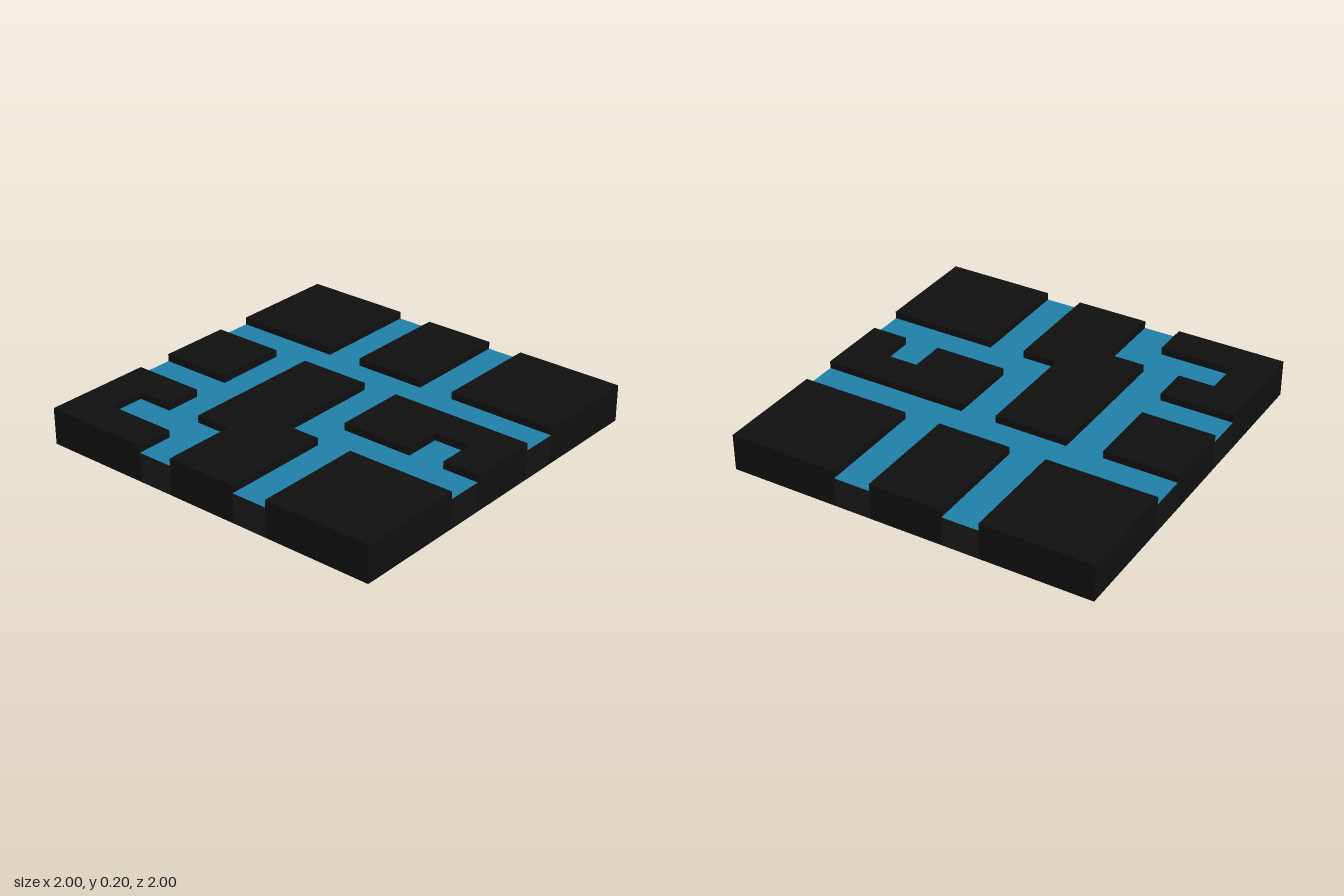
import * as THREE from 'three';
import { mergeGeometries } from 'three/addons/utils/BufferGeometryUtils.js';

// Tile plan seen from above: first row is the back, '#' is a sunken channel
const PLAN = [
  '...#..#...',
  '.#.#..#...',
  '.######...',
  '##....####',
  '......#...',
  '...####...',
  '####..####',
  '...#..#...',
  '...##.#...',
  '...#..#...',
];
const CELL = 0.2, TOP = 0.2, FLOOR = 0.16, RECESS = 0.04;
const RECESS_CELL = { row: 3, col: 1 };
const DIRECTIONS = [[1, 0], [-1, 0], [0, 1], [0, -1]];

const centre = (i) => -1 + (i + 0.5) * CELL;
const tileAt = (row, col) => PLAN[row]?.[col];

// Horizontal square over one cell, facing up or down
function slab(row, col, y, up = true) {
  return new THREE.PlaneGeometry(CELL, CELL)
    .rotateX(up ? -Math.PI / 2 : Math.PI / 2)
    .translate(centre(col), y, centre(row));
}

// Vertical strip on the (dx, dz) side of a cell, facing out of it or into it
function wall(row, col, [dx, dz], y0, y1, inward = false) {
  return new THREE.PlaneGeometry(CELL, y1 - y0)
    .rotateY(Math.atan2(dx, dz) + (inward ? Math.PI : 0))
    .translate(centre(col) + dx * CELL / 2, (y0 + y1) / 2, centre(row) + dz * CELL / 2);
}

export function createModel() {
  const group = new THREE.Group();
  const dark = new THREE.MeshStandardMaterial({ color: 0x101010, side: THREE.DoubleSide });
  const blue = new THREE.MeshStandardMaterial({ color: 0x2080a8, side: THREE.DoubleSide });
  const parts = { blockTops: [], channelFloor: [], channelWalls: [], outerWalls: [], underside: [] };

  for (let row = 0; row < PLAN.length; row++) {
    for (let col = 0; col < PLAN[row].length; col++) {
      // Underside, with one shallow square recess
      if (row === RECESS_CELL.row && col === RECESS_CELL.col) {
        parts.underside.push(slab(row, col, RECESS, false));
        for (const d of DIRECTIONS) parts.underside.push(wall(row, col, d, 0, RECESS, true));
      } else {
        parts.underside.push(slab(row, col, 0, false));
      }

      // Channel cells are a thin floor, open below at the rim
      if (tileAt(row, col) === '#') {
        parts.channelFloor.push(slab(row, col, FLOOR));
        continue;
      }

      // Raised cells: top, step down to a channel, or full-height rim
      parts.blockTops.push(slab(row, col, TOP));
      for (const d of DIRECTIONS) {
        const next = tileAt(row + d[1], col + d[0]);
        if (next === undefined) parts.outerWalls.push(wall(row, col, d, 0, TOP));
        else if (next === '#') parts.channelWalls.push(wall(row, col, d, FLOOR, TOP));
      }
    }
  }

  for (const [name, pieces] of Object.entries(parts)) {
    const mesh = new THREE.Mesh(mergeGeometries(pieces), name === 'channelFloor' ? blue : dark);
    mesh.name = name;
    group.add(mesh);
  }
  return group;
}
